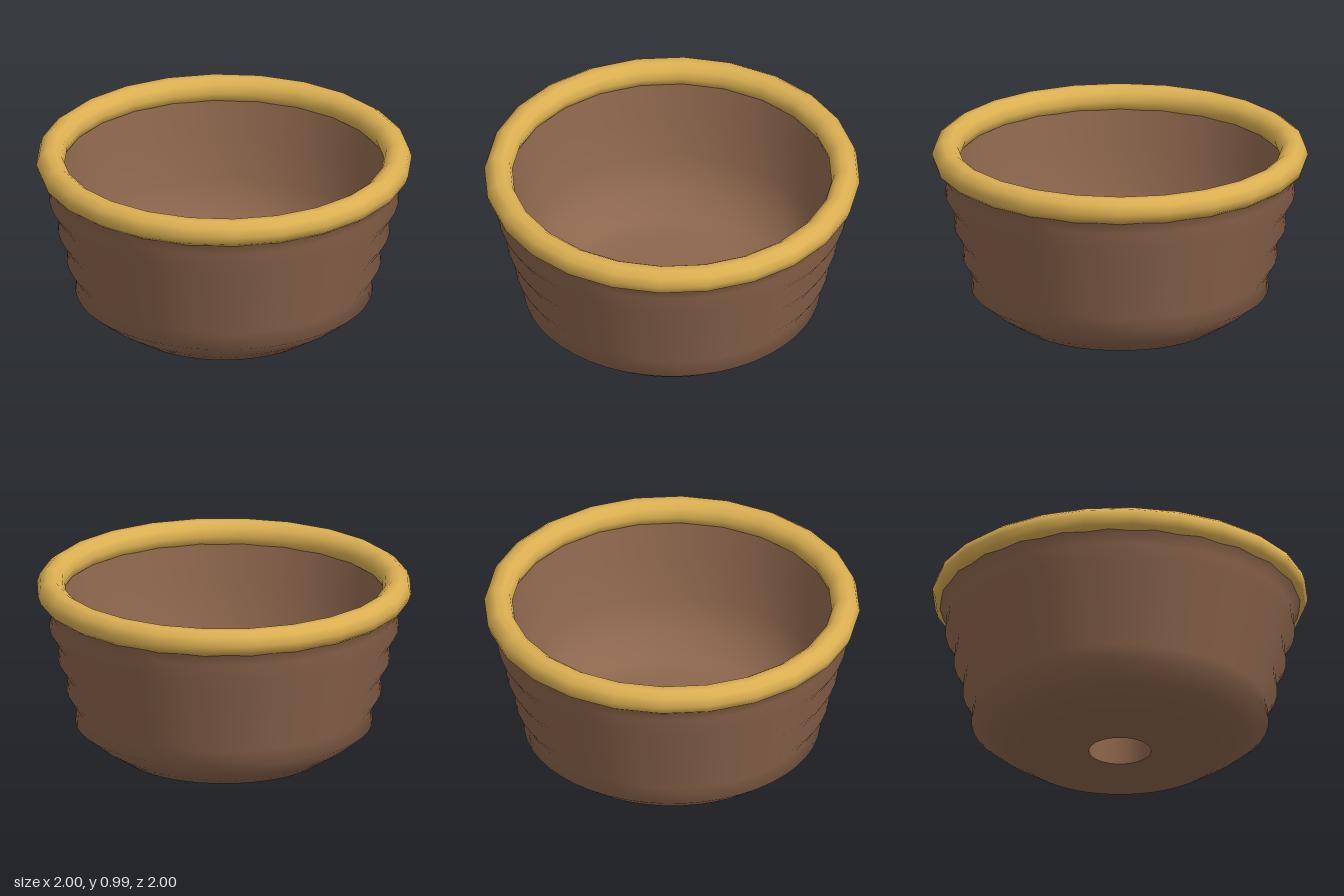
import * as THREE from 'three';

const clay = new THREE.MeshStandardMaterial({ color: 0x8d664d });
clay.name = 'brown clay';
const glaze = new THREE.MeshStandardMaterial({ color: 0xdcb052 });
glaze.name = 'golden glaze';

// Spins a list of [radius, height] points around the y axis
function spin(name, points) {
  const profile = points.map(([r, y]) => new THREE.Vector2(r, y));
  const mesh = new THREE.Mesh(new THREE.LatheGeometry(profile, 48), clay);
  mesh.name = name;
  return mesh;
}

export function createModel() {
  const pot = new THREE.Group();
  pot.name = 'flowerPot';
  const hole = 0.165, floor = 0.17;

  // Underside, bevelled foot and ridged outer wall
  const outer = [[hole, 0], [0.55, 0], [0.69, 0.09]];
  for (let i = 0; i < 4; i++) {
    const r = 0.79 + i * 0.0465, y = 0.17 + i * 0.176;
    outer.push([r, y], [r - 0.008, y + 0.088]);
  }
  outer.push([0.965, 0.87]);
  pot.add(spin('outerWall', outer));

  // Smooth inside wall curving into the floor
  pot.add(spin('innerWall', [
    [0.87, 0.9], [0.83, 0.68], [0.785, 0.45], [0.72, 0.28], [0.58, floor + 0.02], [0.45, floor], [hole, floor],
  ]));

  // Drain hole through the thick floor
  pot.add(spin('drainHole', [[hole, floor], [hole, 0]]));

  // Rolled rim
  const rim = new THREE.Mesh(new THREE.TorusGeometry(0.925, 0.075, 10, 24).rotateX(Math.PI / 2), glaze);
  rim.name = 'rim';
  rim.position.y = 0.915;
  pot.add(rim);

  return pot;
}
